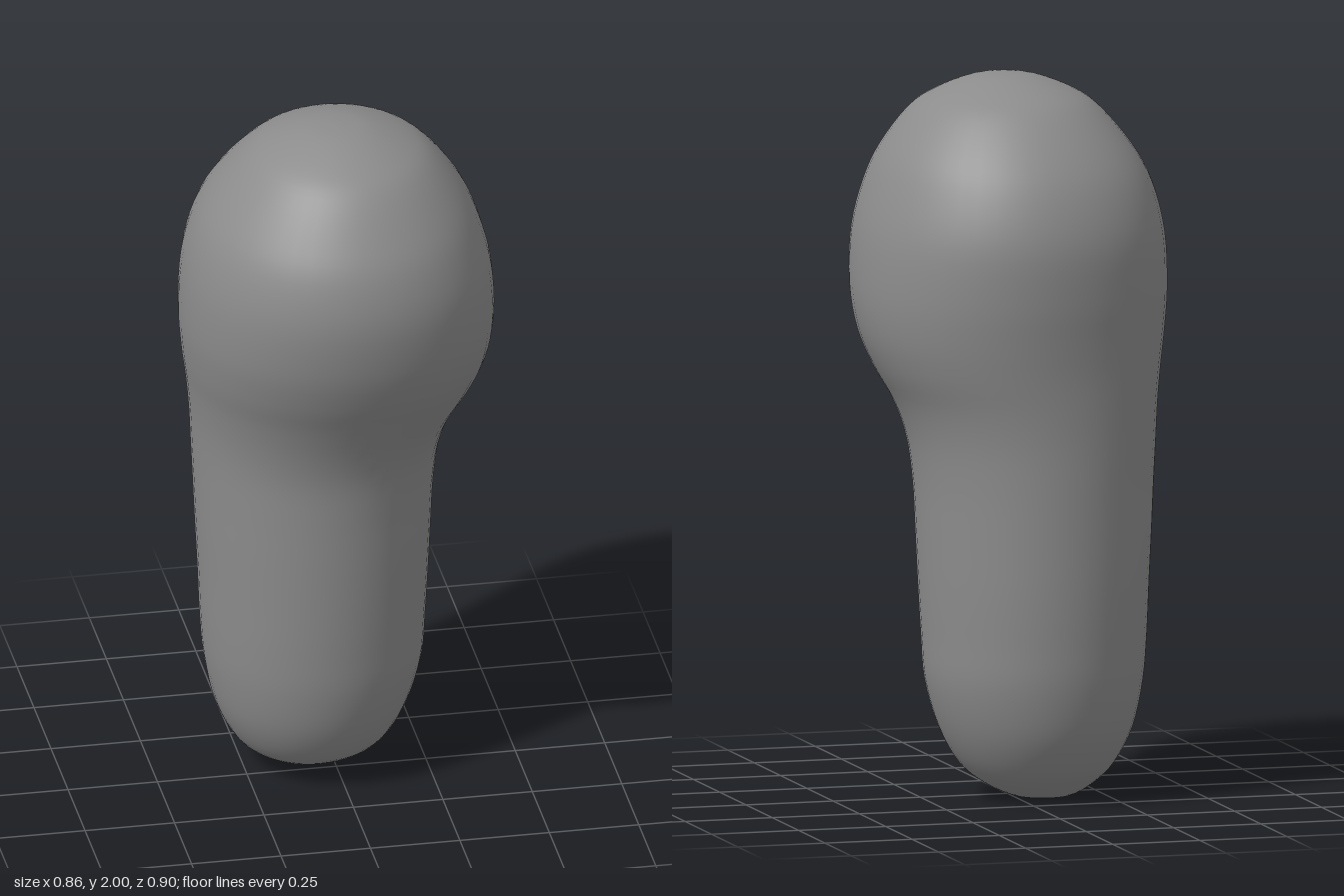
import * as THREE from 'three';

// Cross-sections from bottom to top: [y, xMin, xMax, zMin, zMax, diagonal bulge]
const SECTIONS = [
  [0, -0.07, -0.07, -0.1, -0.1, 0],
  [0.01, -0.152, 0.012, -0.18, -0.015, 0],
  [0.045, -0.217, 0.09, -0.24, 0.065, 0],
  [0.1, -0.275, 0.155, -0.295, 0.142, 0],
  [0.2, -0.325, 0.21, -0.35, 0.2, 0],
  [0.33, -0.353, 0.247, -0.382, 0.234, 0],
  [0.46, -0.364, 0.257, -0.393, 0.247, 0],
  [0.6, -0.37, 0.265, -0.4, 0.255, 0],
  [0.75, -0.378, 0.272, -0.403, 0.261, 0],
  [0.88, -0.384, 0.279, -0.405, 0.265, 0],
  [1.0, -0.39, 0.295, -0.407, 0.273, 0.01],
  [1.1, -0.396, 0.327, -0.412, 0.298, 0.02],
  [1.2, -0.407, 0.38, -0.42, 0.34, 0.03],
  [1.3, -0.422, 0.417, -0.432, 0.39, 0.03],
  [1.42, -0.432, 0.432, -0.446, 0.432, 0.03],
  [1.57, -0.425, 0.422, -0.449, 0.452, 0.03],
  [1.7, -0.395, 0.388, -0.415, 0.43, 0.025],
  [1.8, -0.343, 0.343, -0.358, 0.378, 0.02],
  [1.9, -0.262, 0.267, -0.268, 0.303, 0.01],
  [1.95, -0.195, 0.197, -0.19, 0.23, 0],
  [1.99, -0.092, 0.092, -0.07, 0.125, 0],
  [2, 0, 0, 0.028, 0.028, 0],
];

// Smooth closed skin of rounded rings around a bent axis
function loftSkin(rings, sides) {
  const spline = (f) => new THREE.CatmullRomCurve3(SECTIONS.map(f), false, 'catmullrom', 0.5);
  const axis = spline(([y, a, b, c, d]) => new THREE.Vector3((a + b) / 2, y, (c + d) / 2));
  // x and z hold the ring's radii, y its bulge
  const shape = spline(([, a, b, c, d, e]) => new THREE.Vector3((b - a) / 2, e, (d - c) / 2));
  const pos = axis.getPoint(0).toArray();
  const index = [];
  for (let i = 1; i < rings; i++) {
    const c = axis.getPoint(i / rings), r = shape.getPoint(i / rings);
    for (let j = 0; j < sides; j++) {
      const t = (j / sides) * Math.PI * 2;
      const k = 1 + r.y * Math.max(0, Math.sin(2 * t)) ** 2;
      pos.push(c.x + k * r.x * Math.sin(t), c.y, c.z + k * r.z * Math.cos(t));
    }
  }
  pos.push(...axis.getPoint(1).toArray());

  const top = pos.length / 3 - 1;
  const at = (i, j) => 1 + i * sides + (j % sides);
  for (let j = 0; j < sides; j++) {
    index.push(0, at(0, j + 1), at(0, j));
    for (let i = 0; i < rings - 2; i++) {
      index.push(at(i, j), at(i, j + 1), at(i + 1, j + 1));
      index.push(at(i, j), at(i + 1, j + 1), at(i + 1, j));
    }
    index.push(at(rings - 2, j), at(rings - 2, j + 1), top);
  }
  const geo = new THREE.BufferGeometry();
  geo.setAttribute('position', new THREE.Float32BufferAttribute(pos, 3));
  geo.setIndex(index);
  geo.computeVertexNormals();
  return geo;
}

export function createModel() {
  const group = new THREE.Group();
  group.name = 'roundHeadedPeg';
  // Rounded stem swelling into an offset, ball-shaped head
  const body = new THREE.Mesh(loftSkin(84, 48), new THREE.MeshStandardMaterial({ color: 0x8c8c8c }));
  body.name = 'stemAndHead';
  group.add(body);
  return group;
}
